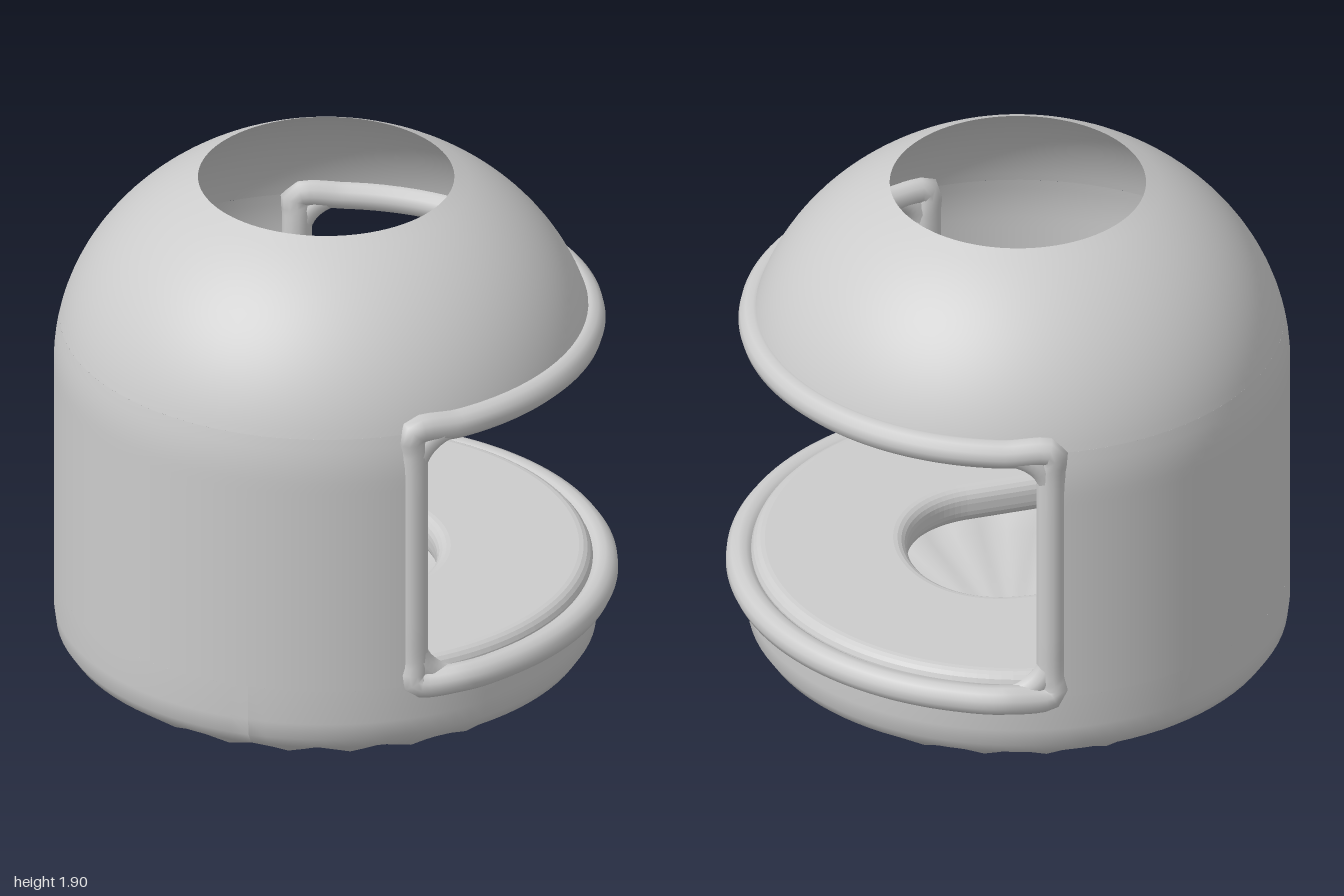
import * as THREE from 'three';

const CX = -0.04, CZ = 0.02, R = 0.958;        // axis and radius of the shell
const LOW = 0.36, HIGH = 1.35;                  // sill and head of the opening
const A0 = THREE.MathUtils.degToRad(54);        // front post angle, from +x towards +z
const A1 = THREE.MathUtils.degToRad(-113);      // back post angle

const material = new THREE.MeshStandardMaterial({ color: 0xcccccc, side: THREE.DoubleSide });

// dome radius at a height: an ellipse that meets the straight wall
const domeRadius = (y) => R * Math.sqrt(1 - Math.max(0, (y - 1.178) / 0.824) ** 2);

function profile(y0, y1, steps) {
  return Array.from({ length: steps + 1 }, (_, i) => {
    const y = y0 + (y1 - y0) * i / steps;
    return new THREE.Vector2(domeRadius(y), y);
  });
}

export function createModel() {
  const model = new THREE.Group();
  const body = new THREE.Group();
  body.position.set(CX, 0, CZ);
  model.add(body);

  function add(geometry, name) {
    const mesh = new THREE.Mesh(geometry, material);
    mesh.name = name;
    body.add(mesh);
    return mesh;
  }

  // base bowl with a faintly scalloped underside
  const basePoints = [[0.001, 0.005], [0.35, 0.022], [0.7, 0.042], [0.84, 0.07], [0.92, 0.12],
    [0.95, 0.165], [R, 0.23], [R, LOW]].map(([x, y]) => new THREE.Vector2(x, y));
  const base = new THREE.LatheGeometry(basePoints, 96);
  const pos = base.attributes.position;
  for (let i = 0; i < pos.count; i++) {
    const x = pos.getX(i), z = pos.getZ(i), r = Math.hypot(x, z);
    if (r > 0.6 && r < 0.9) pos.setY(i, pos.getY(i) + 0.01 * Math.cos(24 * Math.atan2(z, x)));
  }
  base.computeVertexNormals();
  add(base, 'base');

  // wall that wraps around everything but the opening
  const phi = Math.PI / 2 - A1;
  add(new THREE.LatheGeometry(profile(LOW, HIGH, 24), 64, phi, Math.PI * 2 - (A0 - A1)), 'wall');

  // dome, open at the top
  add(new THREE.LatheGeometry(profile(HIGH, 1.905, 20), 96), 'dome');

  // rounded frame running around the opening
  const at = (a, r, y) => new THREE.Vector3(r * Math.cos(a), y, r * Math.sin(a));
  const path = [];
  const N = 16;
  for (let i = 0; i <= N; i++) path.push(at(A0 + (A1 - A0) * i / N, 0.93, HIGH));
  for (const y of [1.28, 1.1, 0.6, 0.44]) path.push(at(A1, 0.925, y));
  for (let i = 0; i <= N; i++) {
    const t = i / N;
    path.push(at(A1 + (A0 - A1) * t, 0.935 + 0.04 * Math.min(1, 5 * Math.sin(Math.PI * t)), 0.365));
  }
  for (const y of [0.44, 0.6, 1.1, 1.28]) path.push(at(A0, 0.925, y));
  const frameCurve = new THREE.CatmullRomCurve3(path, true, 'centripetal');
  add(new THREE.TubeGeometry(frameCurve, 260, 0.053, 12, true), 'openingFrame');

  // small fillets in the inner corners of the frame
  for (const [a, s] of [[A0, -1], [A1, 1]]) {
    for (const [y, d] of [[HIGH, -1], [LOW, 1]]) {
      const bend = new THREE.QuadraticBezierCurve3(
        at(a, 0.925, y + d * 0.14), at(a + s * 0.03, 0.93, y + d * 0.03), at(a + s * 0.15, 0.935, y));
      add(new THREE.TubeGeometry(bend, 10, 0.045, 10), 'frameCorner');
    }
  }

  // shelf behind the sill, with a slot open towards the closed wall
  const shelf = new THREE.Shape();
  const outer = 0.89, end = 2.25;
  shelf.absarc(0, 0, outer, -end, end, false);
  shelf.quadraticCurveTo(-0.45, 0.46, -0.25, 0.42);
  shelf.lineTo(0.1, 0.4);
  shelf.bezierCurveTo(0.55, 0.36, 0.55, -0.36, 0.1, -0.4);
  shelf.lineTo(-0.25, -0.42);
  shelf.quadraticCurveTo(-0.45, -0.46, outer * Math.cos(end), -outer * Math.sin(end));
  const shelfGeometry = new THREE.ExtrudeGeometry(shelf, {
    depth: 0.03, bevelThickness: 0.055, bevelSize: 0.05, bevelSegments: 5, curveSegments: 48,
  });
  shelfGeometry.rotateX(-Math.PI / 2);
  shelfGeometry.rotateY(-(A0 + A1) / 2);
  add(shelfGeometry, 'shelf').position.y = 0.36;

  return model;
}
